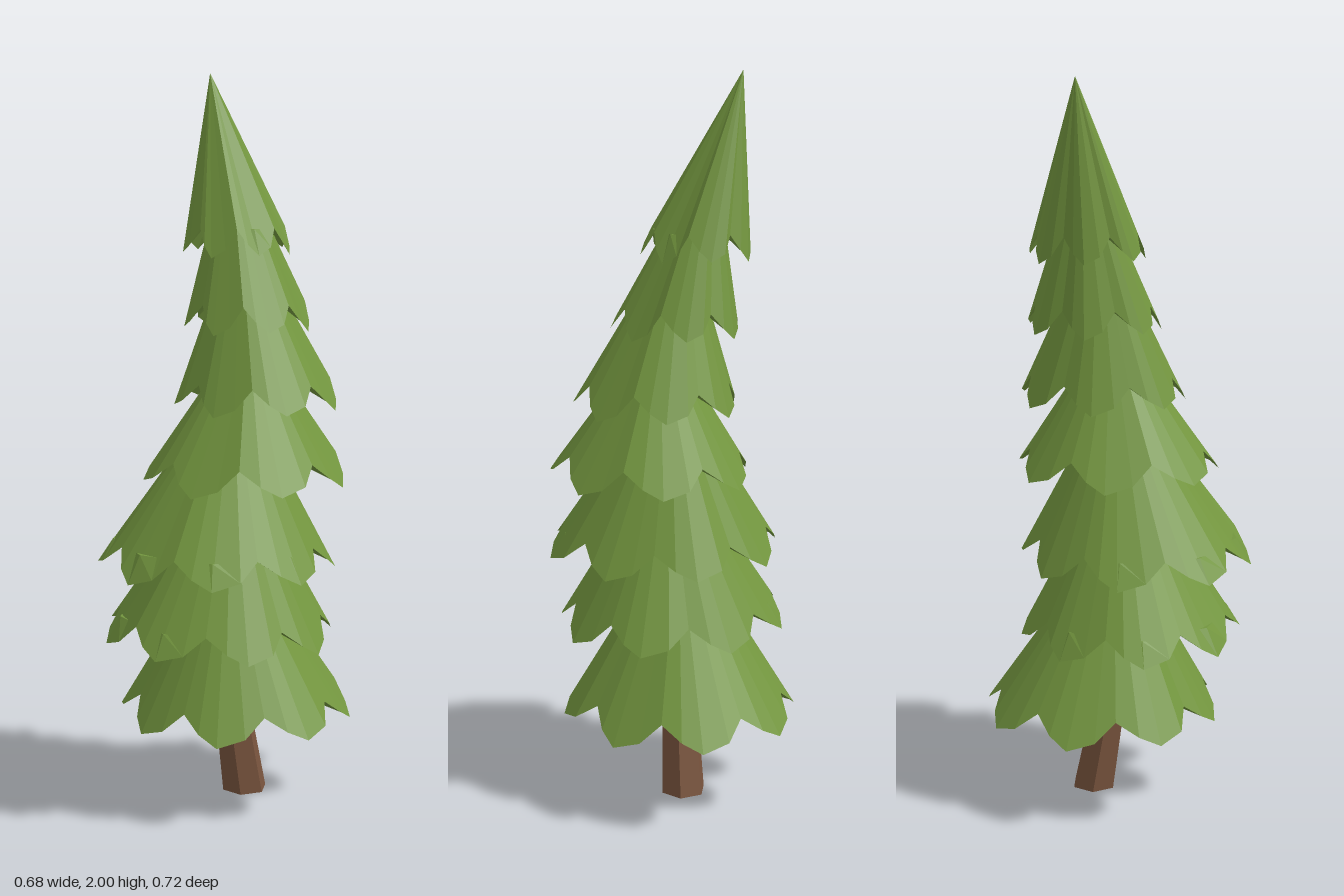
import * as THREE from 'three';

const LOBE = [[0, 0.865, 1], [0.24, 0.95, 0.42], [0.46, 1, 0], [0.76, 0.96, 0.3]]; // fraction, radius, rise

// A leaning cone with a drooping scalloped hem and a recessed underside
function tierGeometry({ apex, x, z, y, lobes, turn, ledge = 0.78, rise = 0.075 }) {
  const unit = [];
  for (let i = 0; i < lobes; i++) {
    const drift = Math.sin(i * 2.4 + turn * 5);
    for (const [f, r, h] of LOBE) {
      const a = ((i + f) / lobes + turn / lobes) * Math.PI * 2;
      const rr = r * (1 + 0.02 * drift);
      unit.push([Math.sin(a) * rr, y + h * rise + 0.006 * (1 + drift) * (1 - h), Math.cos(a) * rr]);
    }
  }
  // Stretch the hem to its left-right and back-front limits
  const fit = (k, [lo, hi]) => {
    const v = unit.map((p) => p[k]);
    const min = Math.min(...v), max = Math.max(...v);
    unit.forEach((p) => { p[k] = lo + (p[k] - min) / (max - min) * (hi - lo); });
  };
  fit(0, x);
  fit(2, z);
  const c = [(x[0] + x[1]) / 2, y + rise, (z[0] + z[1]) / 2];
  const inner = unit.map((p) => [c[0] + (p[0] - c[0]) * ledge, c[1], c[2] + (p[2] - c[2]) * ledge]);
  const out = [];
  unit.forEach((p, i) => {
    const j = (i + 1) % unit.length;
    const q = unit[j], a = inner[i], b = inner[j];
    out.push(...apex, ...p, ...q);                // needles
    out.push(...p, ...a, ...q, ...q, ...a, ...b); // inside of the hem
    out.push(...c, ...b, ...a);                   // underside
  });
  const g = new THREE.BufferGeometry();
  g.setAttribute('position', new THREE.Float32BufferAttribute(out, 3));
  g.computeVertexNormals();
  return g;
}

export function createModel() {
  const tree = new THREE.Group();
  tree.name = 'pineTree';
  const green = new THREE.MeshStandardMaterial({ color: 0x73963f, flatShading: true, side: THREE.DoubleSide });
  const brown = new THREE.MeshStandardMaterial({ color: 0x7a553e, flatShading: true });

  // Foliage tiers, bottom to top
  const tiers = [
    { apex: [0, 0.77, -0.01], x: [-0.30, 0.32], z: [-0.36, 0.27], y: 0.23, lobes: 8, turn: 0 },
    { apex: [0.02, 1.0, 0.01], x: [-0.34, 0.31], z: [-0.27, 0.345], y: 0.465, lobes: 8, turn: 0.5, ledge: 0.87 },
    { apex: [0.02, 1.2, 0.0], x: [-0.31, 0.315], z: [-0.26, 0.36], y: 0.675, lobes: 8, turn: 0.15, ledge: 0.87 },
    { apex: [0.06, 1.34, -0.01], x: [-0.19, 0.335], z: [-0.26, 0.295], y: 0.91, lobes: 7, turn: 0.5 },
    { apex: [0.01, 1.62, -0.05], x: [-0.13, 0.295], z: [-0.25, 0.20], y: 1.11, lobes: 7, turn: 0.5 },
    { apex: [-0.05, 1.82, -0.1], x: [-0.125, 0.2], z: [-0.235, 0.125], y: 1.315, lobes: 7, turn: 0.5 },
    { apex: [-0.125, 2, -0.125], x: [-0.155, 0.125], z: [-0.235, 0.075], y: 1.515, lobes: 7, turn: 0.6 },
  ];
  tiers.forEach((t, i) => {
    const mesh = new THREE.Mesh(tierGeometry(t), green);
    mesh.name = `foliageTier${i + 1}`;
    tree.add(mesh);
  });

  // Six-sided trunk leaning up into the foliage
  const trunkGeometry = new THREE.CylinderGeometry(0.045, 0.064, 0.4, 6);
  trunkGeometry.rotateY(0.35).translate(0, 0.2, 0);
  const p = trunkGeometry.attributes.position;
  for (let i = 0; i < p.count; i++) {
    const h = p.getY(i) / 0.4;
    p.setX(i, p.getX(i) + 0.02 - 0.025 * h);
    p.setZ(i, p.getZ(i) - 0.065 + 0.065 * h);
  }
  trunkGeometry.computeVertexNormals();
  const trunk = new THREE.Mesh(trunkGeometry, brown);
  trunk.name = 'trunk';
  tree.add(trunk);
  return tree;
}
